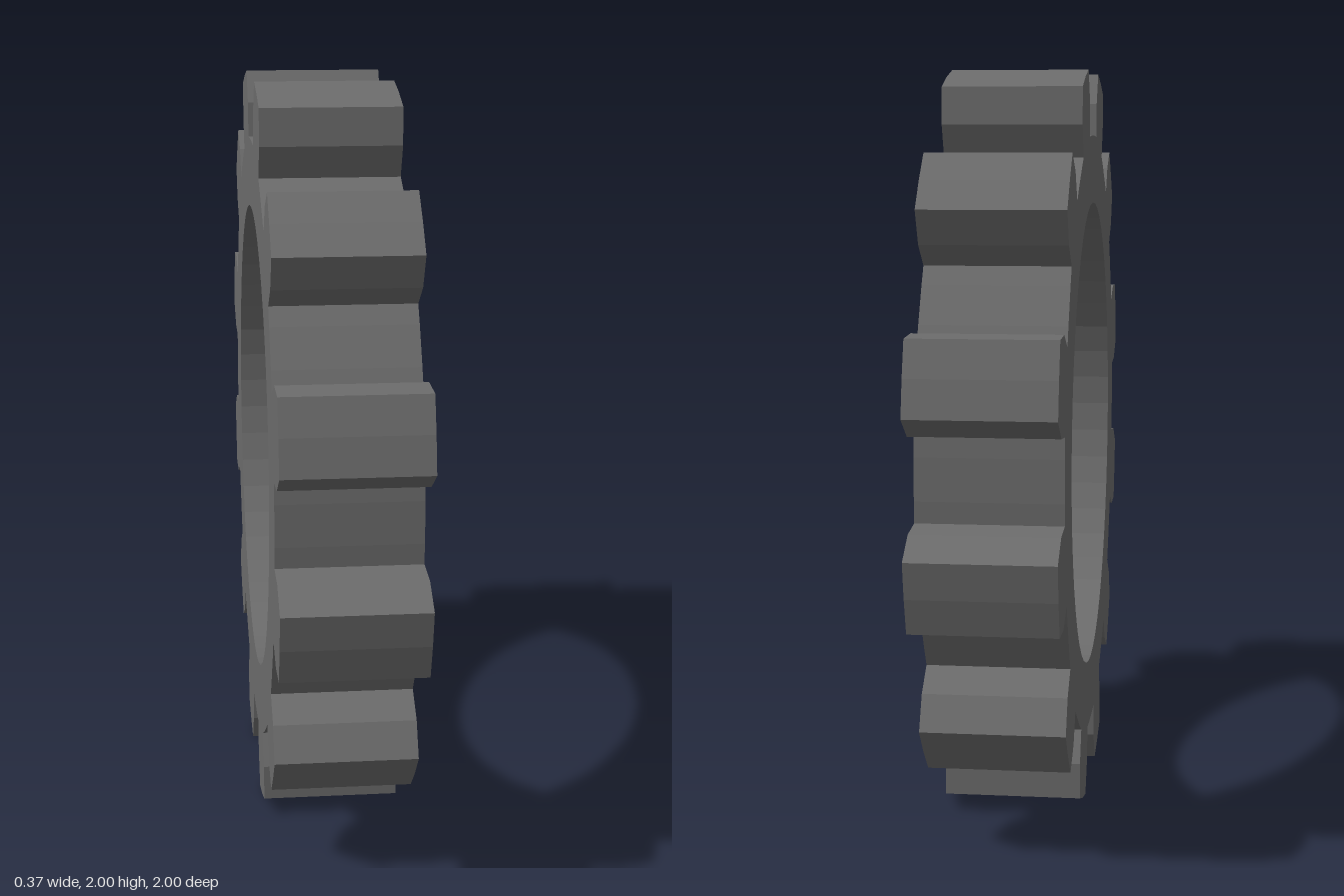
import * as THREE from 'three';

const TEETH = 12;
const WIDTH = 0.367;
const BORE = 0.645;

// Radius and angle (degrees from the tooth centre) along one tooth and the gap after it
const TOOTH = [
  [0.832, -7.5], [0.925, -7.7], [1.0145, -5.4], [1.0145, 0], [1.0145, 5.4],
  [0.925, 7.7], [0.832, 7.5], [0.83, 11.25], [0.83, 18.75],
];

function polar(radius, degrees) {
  const a = THREE.MathUtils.degToRad(degrees);
  return new THREE.Vector2(radius * Math.cos(a), radius * Math.sin(a));
}

export function createModel() {
  const group = new THREE.Group();
  group.name = 'gearRing';

  // Toothed outline, with a gap centred on each axis
  const pitch = 360 / TEETH;
  const outline = [];
  for (let i = 0; i < TEETH; i++) {
    for (const [r, a] of TOOTH) outline.push(polar(r, (i + 0.5) * pitch + a));
  }
  const shape = new THREE.Shape(outline);

  // Round bore through the middle
  const bore = [];
  for (let i = 0; i < 48; i++) bore.push(polar(BORE, -i * 7.5));
  shape.holes.push(new THREE.Path(bore));

  // Extruded and turned so the axle runs along x
  const geometry = new THREE.ExtrudeGeometry(shape, { depth: WIDTH, bevelEnabled: false });
  geometry.translate(0, 0, -WIDTH / 2);
  geometry.rotateY(Math.PI / 2);
  geometry.translate(0, 1, 0);

  // Dark grey metal
  const gear = new THREE.Mesh(
    geometry,
    new THREE.MeshStandardMaterial({ color: 0x6c6c6c, flatShading: true })
  );
  gear.name = 'toothedRing';
  group.add(gear);
  return group;
}
